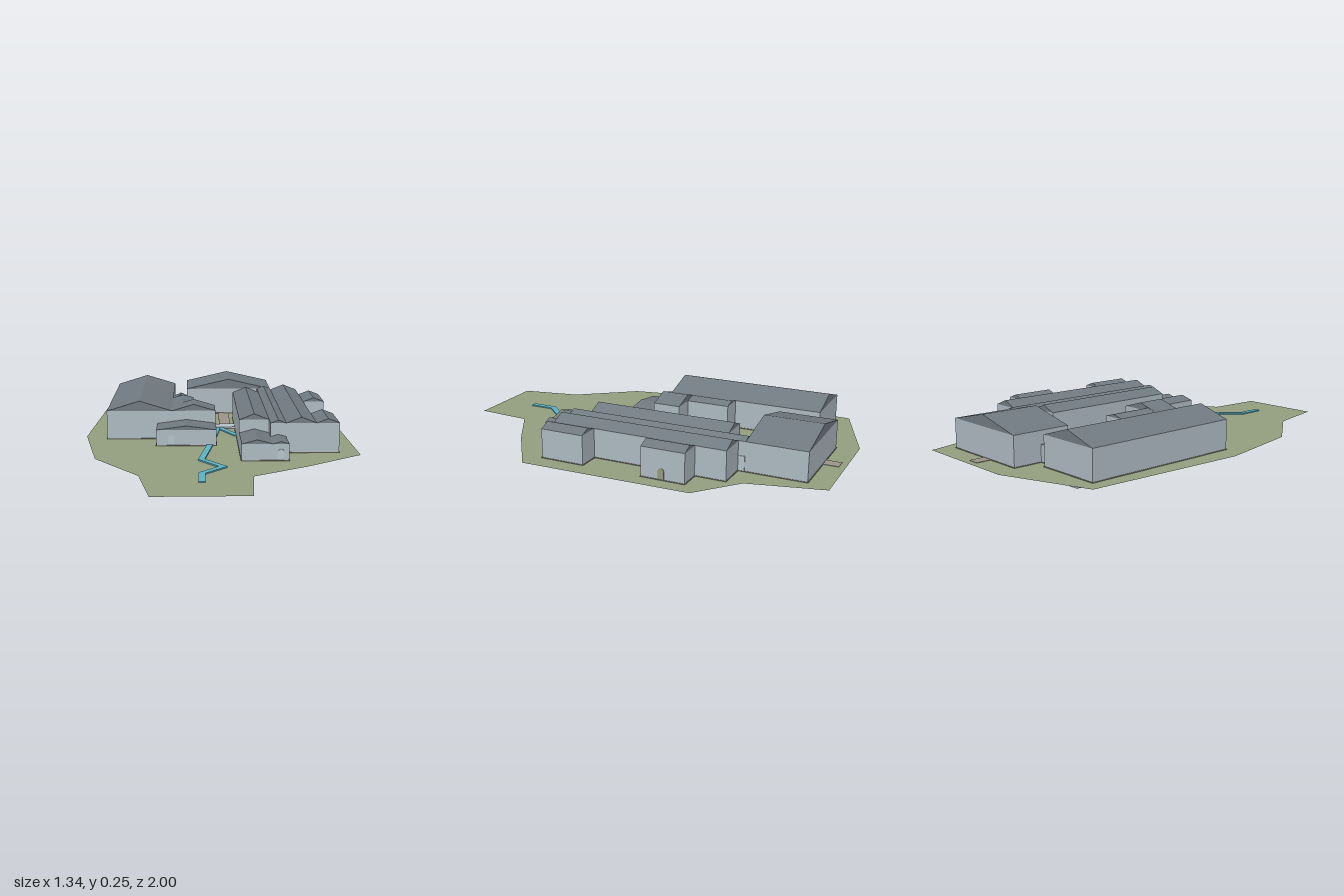
import * as THREE from 'three';

const mat = (name, color, side = THREE.FrontSide) => {
  const m = new THREE.MeshStandardMaterial({ color, side });
  m.name = name;
  return m;
};

export function createModel() {
  const group = new THREE.Group();
  group.name = 'riversideHalls';
  const wall = mat('paleWall', 0xaeb9c2);
  const roof = mat('slateRoof', 0x717a81);
  const grass = mat('grass', 0x939f80, THREE.DoubleSide);
  const water = mat('water', 0x5cb3c4);
  const plinth = mat('plinth', 0x7c7665);
  const path = mat('path', 0x9b9488);
  const oliveDoor = mat('oliveDoor', 0x929b78);
  const paleDoor = mat('paleDoor', 0xb4c3c9);

  const add = (name, geometry, material, parent = group) => {
    const mesh = new THREE.Mesh(geometry, material);
    mesh.name = name;
    parent.add(mesh);
    return mesh;
  };

  // Box given by its limits
  const block = (name, x0, x1, y0, y1, z0, z1, material, parent = group) => {
    const m = add(name, new THREE.BoxGeometry(x1 - x0, y1 - y0, z1 - z0), material, parent);
    m.position.set((x0 + x1) / 2, (y0 + y1) / 2, (z0 + z1) / 2);
  };

  // Ground sheet
  const outline = [[-0.2, -1], [0.36, -1], [0.45, -0.64], [0.65, -0.47], [0.67, 0.37], [0.39, 0.57],
    [0.14, 0.72], [0.12, 1], [-0.3, 1], [-0.36, 0.7], [-0.58, 0.41], [-0.67, -0.04], [-0.63, -0.84]];
  const shape = new THREE.Shape(outline.map(([x, z]) => new THREE.Vector2(x, -z)));
  add('ground', new THREE.ShapeGeometry(shape).rotateX(-Math.PI / 2), grass).position.y = 0.05;

  // Thin ribbon with mitred corners along points in x and z
  const ribbon = (name, pts, width, depth, material) => {
    const p = pts.map(([x, z]) => new THREE.Vector2(x, -z));
    const left = [], right = [];
    p.forEach((q, i) => {
      const a = q.clone().sub(p[Math.max(i - 1, 0)]).normalize();
      const b = p[Math.min(i + 1, p.length - 1)].clone().sub(q).normalize();
      const t = a.clone().add(b).normalize();
      const n = new THREE.Vector2(-t.y, t.x);
      const half = width / 2 / Math.max(0.5, t.dot(i ? a : b));
      left.push(q.clone().addScaledVector(n, half));
      right.unshift(q.clone().addScaledVector(n, -half));
    });
    const s = new THREE.Shape([...left, ...right]);
    add(name, new THREE.ExtrudeGeometry(s, { depth, bevelEnabled: false }).rotateX(-Math.PI / 2), material)
      .position.y = 0.0505;
  };
  ribbon('footpath', [[0.05, -0.97], [0.05, -0.2]], 0.06, 0.002, path);
  ribbon('river', [[-0.11, -0.6], [0.01, -0.22], [-0.04, 0.17], [-0.085, 0.45], [0.012, 0.575],
    [-0.085, 0.68], [-0.085, 0.81]], 0.03, 0.006, water);
  ribbon('riverBranch', [[0.01, -0.22], [0.1, -0.03]], 0.03, 0.0065, water);

  // Hall: plinth, walls and a gabled roof whose ridge runs along z
  const hall = (name, x0, x1, z0, z1, eave, peak) => {
    const g = new THREE.Group();
    g.name = name;
    group.add(g);
    const e = 0.003;
    block(name + 'Plinth', x0 - e, x1 + e, 0.046, 0.053, z0 - e, z1 + e, plinth, g);
    block(name + 'Walls', x0, x1, 0.044, eave, z0, z1, wall, g);
    const s = new THREE.Shape([new THREE.Vector2(x0, eave), new THREE.Vector2(x1, eave),
      new THREE.Vector2((x0 + x1) / 2, peak)]);
    add(name + 'Roof', new THREE.ExtrudeGeometry(s, { depth: z1 - z0, bevelEnabled: false }), roof, g)
      .position.z = z0;
  };
  hall('westHall', -0.56, -0.23, -0.785, 0.02, 0.195, 0.246);
  hall('northHall', -0.16, 0.32, -0.893, -0.6, 0.195, 0.25);
  hall('northLink', -0.23, -0.16, -0.75, -0.68, 0.13, 0.145);
  hall('westAnnex', -0.23, -0.12, -0.34, -0.12, 0.195, 0.21);
  hall('westWing', -0.23, -0.01, -0.12, 0.02, 0.195, 0.228);
  hall('westPorch', -0.305, -0.008, 0.02, 0.17, 0.13, 0.15);
  hall('eastInnerHall', 0.1, 0.245, -0.49, 0.24, 0.195, 0.224);
  hall('eastMiddleHall', 0.245, 0.32, -0.6, 0.32, 0.195, 0.21);
  hall('eastOuterHall', 0.32, 0.465, -0.565, 0.32, 0.195, 0.224);
  hall('eastPorch', 0.1, 0.245, 0.24, 0.465, 0.13, 0.15);
  hall('eastSidePorch', 0.245, 0.32, 0.32, 0.465, 0.13, 0.141);
  hall('eastRearBay', 0.465, 0.575, -0.415, -0.2, 0.195, 0.216);
  hall('eastFrontBay', 0.465, 0.575, 0.1, 0.32, 0.195, 0.216);

  // Bridge across the river
  block('bridge', -0.12, 0.1, 0.05, 0.06, -0.275, -0.2, paleDoor);

  // Basement rooms under the ground, joined by a passage: x0, x1, z0, z1
  [[-0.45, -0.305, -0.78, -0.03], [-0.305, -0.205, -0.34, -0.03], [-0.205, -0.12, -0.26, -0.03],
    [-0.12, 0.1, -0.26, -0.19], [0.1, 0.2, -0.26, 0.25], [0.1, 0.245, 0.25, 0.468]]
    .forEach(([x0, x1, z0, z1], i) =>
      block('basementRoom' + (i + 1), x0, x1, 0, 0.046, z0, z1, wall));

  // Arched doors as thin plates
  const door = (name, x, z, turn, material) => {
    const s = new THREE.Shape();
    s.moveTo(-0.015, 0);
    s.lineTo(0.015, 0);
    s.lineTo(0.015, 0.037);
    s.absarc(0, 0.037, 0.015, 0, Math.PI, false);
    s.closePath();
    const d = add(name, new THREE.ExtrudeGeometry(s, { depth: 0.003, bevelEnabled: false, curveSegments: 6 }), material);
    d.position.set(x, 0.054, z);
    d.rotation.y = turn;
  };
  door('westPorchDoor', -0.232, 0.17, 0, paleDoor);
  door('eastPorchDoor', 0.282, 0.465, 0, paleDoor);
  door('northHallDoor', -0.11, -0.6, 0, paleDoor);
  door('eastBayDoor', 0.575, -0.3, Math.PI / 2, oliveDoor);

  // Tall plain door in the gap behind the outer hall
  block('rearGapDoor', 0.32, 0.324, 0.054, 0.125, -0.598, -0.568, paleDoor);

  return group;
}
